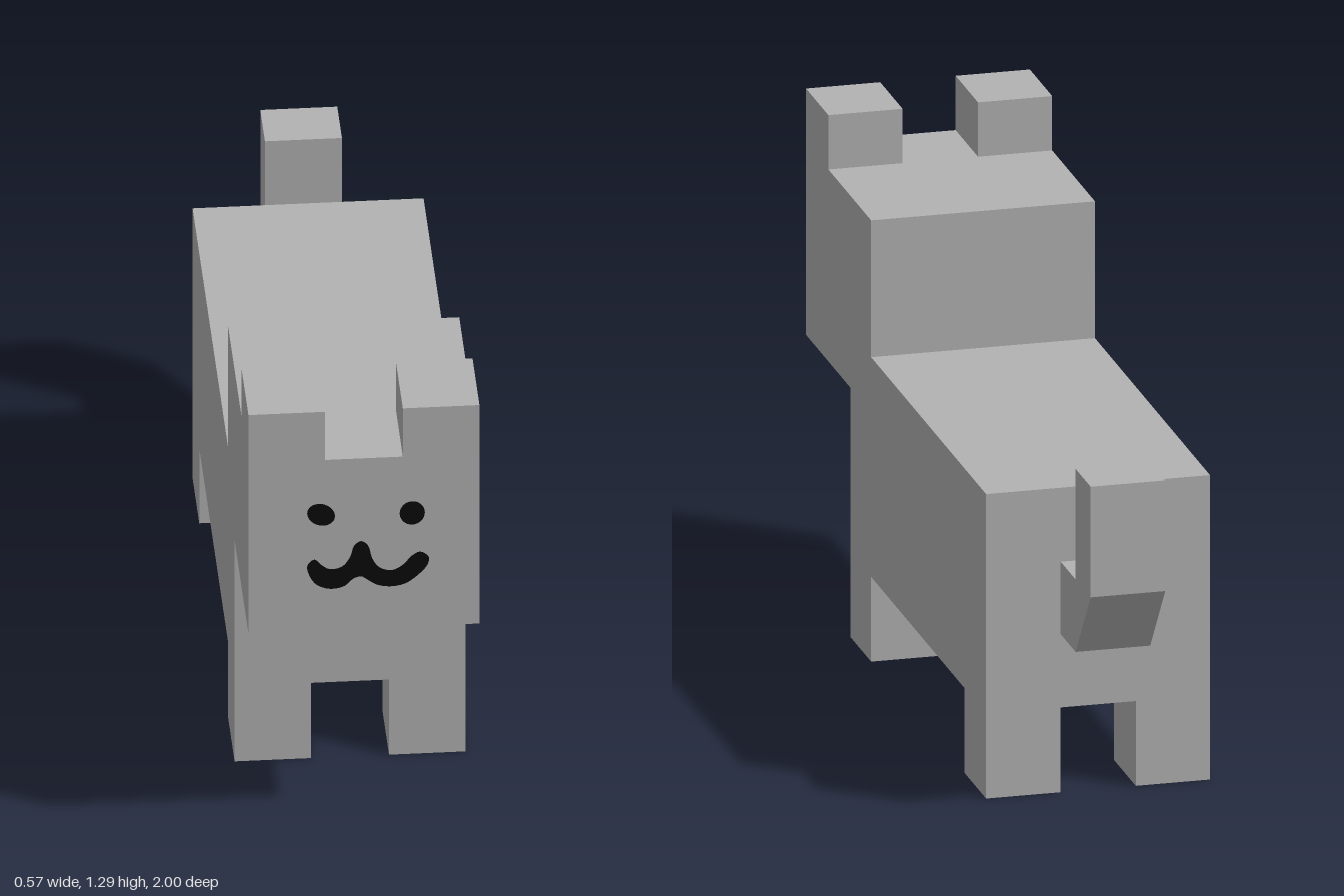
import * as THREE from 'three';

const fur = new THREE.MeshStandardMaterial({ color: 0xb2b2b2 });
fur.name = 'grey fur';
const ink = new THREE.MeshStandardMaterial({ color: 0x0a0a0a });
ink.name = 'black face paint';

// Side profile given as [z, y], extruded across x
function profile(name, points, width) {
  const shape = new THREE.Shape(points.map(([z, y]) => new THREE.Vector2(z, y)));
  const geo = new THREE.ExtrudeGeometry(shape, { depth: width, bevelEnabled: false });
  geo.translate(0, 0, -width / 2).rotateY(-Math.PI / 2);
  const mesh = new THREE.Mesh(geo, fur);
  mesh.name = name;
  return mesh;
}

// Block given by its limits
function block(name, x0, x1, y0, y1, z0, z1) {
  const mesh = new THREE.Mesh(new THREE.BoxGeometry(x1 - x0, y1 - y0, z1 - z0), fur);
  mesh.position.set((x0 + x1) / 2, (y0 + y1) / 2, (z0 + z1) / 2);
  mesh.name = name;
  return mesh;
}

// Flat painted detail just in front of the face
function paint(name, shape) {
  const mesh = new THREE.Mesh(new THREE.ShapeGeometry(shape, 24), ink);
  mesh.position.z = 1.003;
  mesh.name = name;
  return mesh;
}

function eye(name, x, y, rx, ry, tilt) {
  const shape = new THREE.Shape();
  shape.absellipse(x, y, rx, ry, 0, Math.PI * 2, false, tilt);
  return paint(name, shape);
}

export function createModel() {
  const model = new THREE.Group();
  model.name = 'blockDog';

  // Head and torso share one stepped silhouette
  model.add(profile('headAndBody', [
    [-0.715, 0.22], [0.575, 0.22], [0.575, 0.647], [1, 0.647],
    [1, 1.145], [0.38, 1.145], [0.38, 0.79], [-0.715, 0.79],
  ], 0.57));

  // Upturned tail
  model.add(profile('tail', [
    [-0.715, 0.41], [-0.715, 0.598], [-0.857, 0.598], [-0.857, 0.885],
    [-1, 0.885], [-1, 0.598], [-0.857, 0.41],
  ], 0.19));

  // Legs and ears on both sides
  for (const [side, x0, x1] of [['left', 0.096, 0.285], ['right', -0.285, -0.096]]) {
    model.add(
      block(side + 'FrontLeg', x0, x1, 0, 0.22, 0.38, 0.575),
      block(side + 'BackLeg', x0, x1, 0, 0.22, -0.715, -0.51),
      block(side + 'Ear', x0, x1, 1.145, 1.286, 0.787, 1),
    );
  }

  // Eyes
  model.add(
    eye('rightEye', -0.106, 0.987, 0.036, 0.03, -0.6),
    eye('leftEye', 0.119, 0.981, 0.031, 0.034, 0),
  );

  // Nose and smiling mouth as one smooth outline
  const outline = [
    [-0.14, 0.84], [-0.122, 0.857], [-0.105, 0.84], [-0.085, 0.827], [-0.054, 0.833],
    [-0.034, 0.861], [-0.024, 0.893], [-0.007, 0.905], [0.01, 0.891], [0.02, 0.854],
    [0.037, 0.827], [0.068, 0.816], [0.095, 0.83], [0.119, 0.857], [0.139, 0.867],
    [0.16, 0.85], [0.156, 0.827], [0.133, 0.799], [0.102, 0.776], [0.065, 0.769],
    [0.031, 0.776], [0.003, 0.796], [-0.007, 0.802], [-0.027, 0.796], [-0.048, 0.776],
    [-0.082, 0.769], [-0.116, 0.782], [-0.133, 0.806],
  ].map(([x, y]) => new THREE.Vector3(x, y, 0));
  const curve = new THREE.CatmullRomCurve3(outline, true);
  const points = curve.getPoints(84).slice(0, -1).map((p) => new THREE.Vector2(p.x, p.y));
  model.add(paint('noseAndMouth', new THREE.Shape(points)));

  return model;
}
